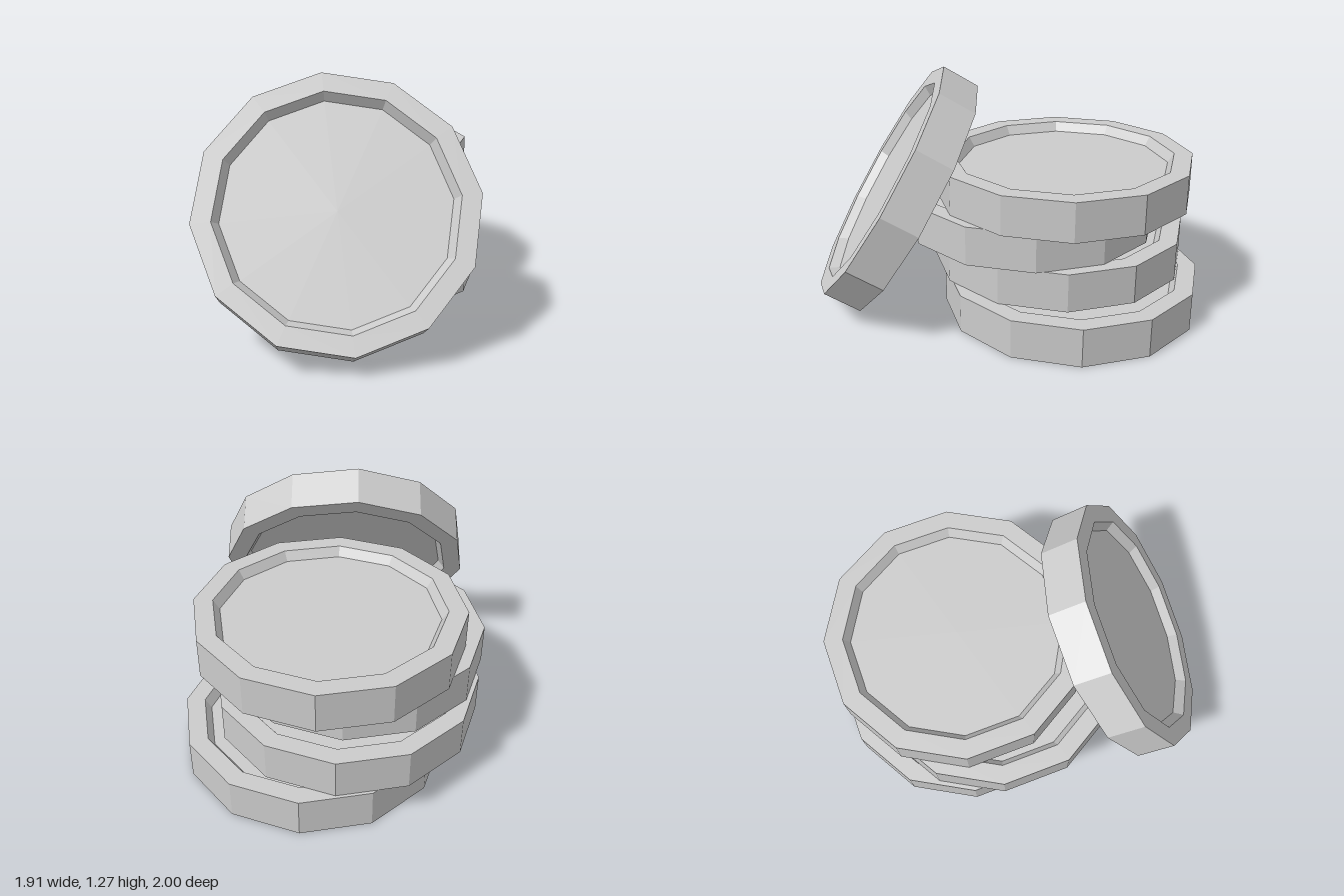
import * as THREE from 'three';

const SIDES = 12, RADIUS = 0.686, THICK = 0.206;
const LIP = 0.588, FLOOR = 0.556, DEPTH = 0.05;

// Closed coin profile: recessed floor, sloped lip and raised rim on both faces
function coinGeometry() {
  const h = THICK / 2;
  const profile = [
    [0, -h + DEPTH], [FLOOR, -h + DEPTH], [LIP, -h], [RADIUS, -h],
    [RADIUS, h], [LIP, h], [FLOOR, h - DEPTH], [0, h - DEPTH],
  ].map(([r, y]) => new THREE.Vector2(r, y));
  return new THREE.LatheGeometry(profile, SIDES);
}

export function createModel() {
  const group = new THREE.Group();
  group.name = 'coinPile';
  const geometry = coinGeometry();
  const material = new THREE.MeshStandardMaterial({ color: 0xcccccc, flatShading: true });

  const addCoin = (name, x, y, z) => {
    const coin = new THREE.Mesh(geometry, material);
    coin.name = name;
    coin.position.set(x, y, z);
    group.add(coin);
    return coin;
  };

  // Uneven stack of four coins, from the bottom up
  const stack = [[0.26, -0.283], [0.084, -0.314], [-0.012, -0.187], [0.165, -0.283]];
  stack.forEach(([x, z], i) => addCoin(`stackedCoin${i + 1}`, x, THICK * (i + 0.5), z));

  // Coin leaning against the stack: its axis, and the direction of one corner
  const leaning = addCoin('leaningCoin', -0.292, 0.637, 0.484);
  const axis = new THREE.Vector3(-0.374, 0.519, 0.767).normalize();
  const corner = new THREE.Vector3(0.1, 0.58, -0.355);
  const side = new THREE.Vector3().crossVectors(axis, corner).normalize();
  corner.crossVectors(side, axis);
  leaning.quaternion.setFromRotationMatrix(new THREE.Matrix4().makeBasis(side, axis, corner));

  return group;
}
